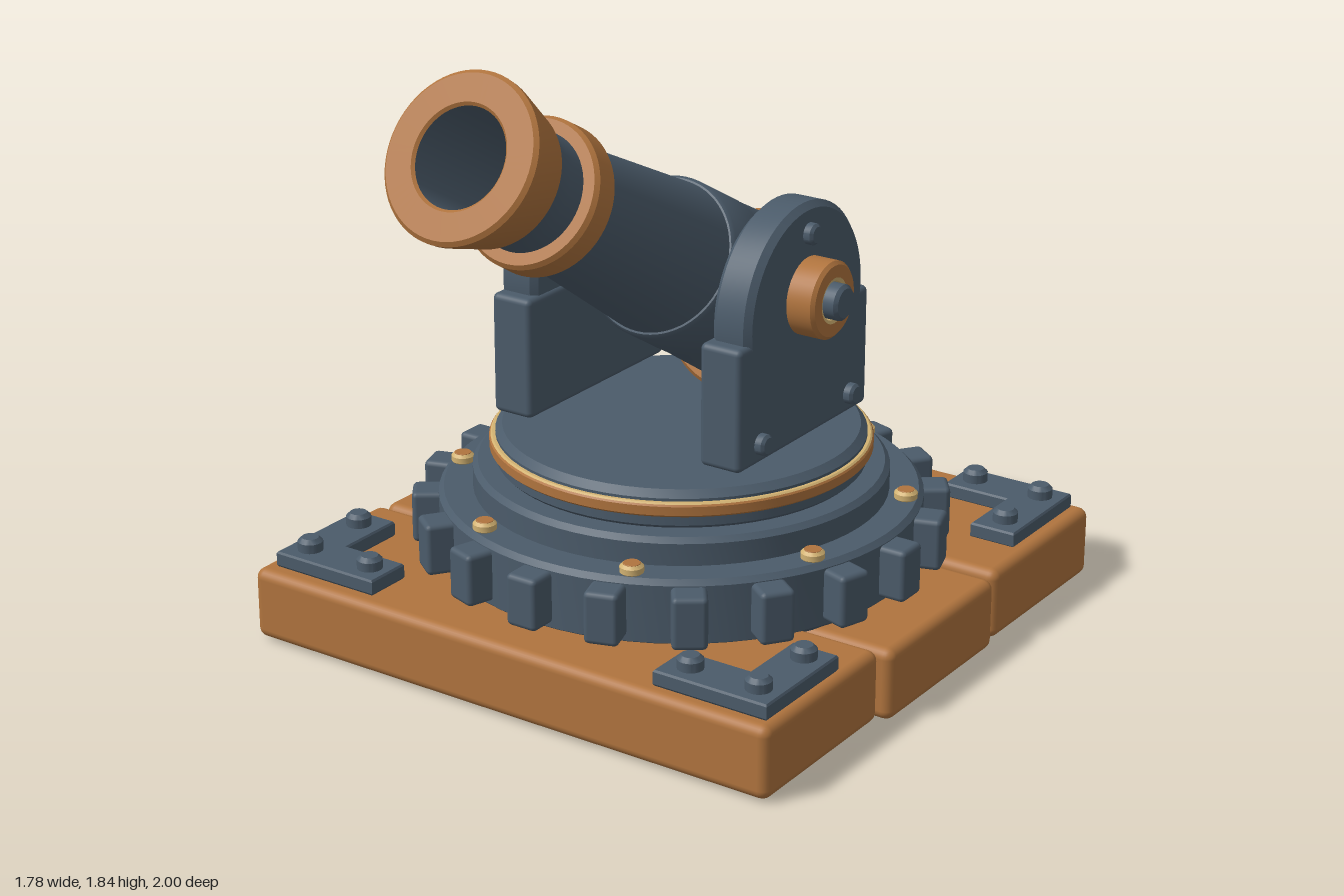
import * as THREE from 'three';
import { toCreasedNormals } from 'three/addons/utils/BufferGeometryUtils.js';
import { RoundedBoxGeometry } from 'three/addons/geometries/RoundedBoxGeometry.js';

const iron = new THREE.MeshStandardMaterial({ color: 0x4b5b6a });
iron.name = 'blue grey iron';
const brown = new THREE.MeshStandardMaterial({ color: 0xb0743e });
brown.name = 'warm brown';
const brass = new THREE.MeshStandardMaterial({ color: 0xd2b272 });
brass.name = 'pale brass';

const CZ = -0.12; // axis of the turntable and trunnions

function add(parent, name, geometry, material, x = 0, y = 0, z = 0) {
  const mesh = new THREE.Mesh(geometry, material);
  mesh.name = name;
  mesh.position.set(x, y, z);
  parent.add(mesh);
  return mesh;
}

// Turned part from [radius, height] pairs listed bottom to top
function turned(points, segments = 64) {
  const profile = points.map(([r, h]) => new THREE.Vector2(r, h));
  return toCreasedNormals(new THREE.LatheGeometry(profile, segments), 0.6);
}

// Solid disc with bevelled rims
function disc(r, y0, y1, b = 0.015, segments = 64) {
  return turned([[0, y0], [r - b, y0], [r, y0 + b], [r, y1 - b], [r - b, y1], [0, y1]], segments);
}

function buildPlanks(parent) {
  const planks = [[-0.015, 0.115, 0.468, 1.75, 0.57], [0.002, 0.108, -0.12, 1.775, 0.58], [0.008, 0.12, -0.71, 1.755, 0.58]];
  planks.forEach(([x, y, z, w, d], i) => {
    const plank = add(parent, 'plank', new RoundedBoxGeometry(w, 0.215, d, 3, 0.03), brown, x, y, z);
    plank.rotation.y = [0.002, -0.003, -0.004][i];
  });
}

function buildBrackets(parent) {
  const shape = new THREE.Shape();
  [[0.49, 0.695], [0.49, 0.83], [0.835, 0.83], [0.835, 0.48], [0.70, 0.48], [0.70, 0.695]]
    .forEach(([x, y], i) => (i ? shape.lineTo(x, y) : shape.moveTo(x, y)));
  const plate = new THREE.ExtrudeGeometry(shape, { depth: 0.035, bevelEnabled: true, bevelSize: 0.004, bevelThickness: 0.006, bevelSegments: 1 });
  plate.rotateX(-Math.PI / 2);
  const stud = disc(0.037, 0, 0.055, 0.012, 20);
  for (let i = 0; i < 4; i++) {
    const bracket = new THREE.Group();
    bracket.name = 'cornerBracket';
    add(bracket, 'bracketPlate', plate, iron);
    [[0.77, 0.765], [0.77, 0.55], [0.55, 0.765]].forEach(([x, z]) => add(bracket, 'bracketStud', stud, iron, x, 0.025, -z));
    // Mirrored corners; flipped plates keep outward faces by rotating and swapping arms
    const swap = i % 2 === 1;
    bracket.rotation.y = i * Math.PI / 2;
    if (swap) bracket.children.forEach(c => { c.position.y += 0; });
    bracket.position.set(0, 0.23, -0.127);
    // The bracket is diagonal-symmetric about its own corner, so quarter turns fit every corner
    parent.add(bracket);
  }
}

function buildTurntable(parent) {
  const table = new THREE.Group();
  table.name = 'turntable';
  table.position.z = CZ;
  parent.add(table);

  // Toothed ring
  add(table, 'gearDisc', disc(0.705, 0.21, 0.41), iron);
  const tooth = new RoundedBoxGeometry(0.1, 0.155, 0.14, 2, 0.015);
  for (let i = 0; i < 20; i++) {
    const a = i * Math.PI / 10;
    add(table, 'gearTooth', tooth, iron, Math.sin(a) * 0.712, 0.315, Math.cos(a) * 0.712).rotation.y = a;
  }

  // Rivets around the flange
  const rivet = disc(0.034, 0, 0.032, 0.008, 20);
  const cap = disc(0.025, 0, 0.003, 0.001, 20);
  for (let i = 0; i < 8; i++) {
    const a = (i + 0.5) * Math.PI / 4;
    const x = Math.sin(a) * 0.658, z = Math.cos(a) * 0.658;
    add(table, 'flangeRivet', rivet, brass, x, 0.405, z);
    add(table, 'rivetCap', cap, brown, x, 0.436, z);
  }

  // Stepped platform with its trim
  add(table, 'lowerStep', disc(0.605, 0.39, 0.49), iron);
  add(table, 'platform', disc(0.538, 0.48, 0.6, 0.02), iron);
  add(table, 'trimRing', turned([[0.53, 0.53], [0.548, 0.53], [0.556, 0.537], [0.556, 0.563], [0.552, 0.568]], 80), brown);
  add(table, 'trimEdge', turned([[0.552, 0.568], [0.547, 0.572], [0.53, 0.572]], 80), brass);
}

function buildCheeks(parent) {
  const bolt = disc(0.031, 0, 0.04, 0.008, 20);
  for (const side of [1, -1]) {
    const cheek = new THREE.Group();
    cheek.name = side > 0 ? 'leftCheek' : 'rightCheek';
    cheek.position.z = CZ;
    parent.add(cheek);
    const across = (name, geometry, material, y, z) => {
      add(cheek, name, geometry, material, side * 0.41, y, z).rotation.z = -side * Math.PI / 2;
    };
    add(cheek, 'cheekBase', new RoundedBoxGeometry(0.134, 0.36, 0.67, 3, 0.018), iron, side * 0.355, 0.82, 0.005);
    across('cheekDome', disc(0.3, -0.112, 0.012, 0.018), iron, 1.03, 0);
    [[0.7, 0.235], [0.7, -0.23], [1.245, 0]].forEach(([y, z]) => across('cheekBolt', bolt, iron, y, z));
    // Hub and axle end
    across('hub', turned([[0.112, 0], [0.112, 0.088], [0.102, 0.098], [0.066, 0.098]], 40), brown, 1.065, 0);
    across('hubLip', turned([[0.066, 0.098], [0.056, 0.094], [0.05, 0.07]], 40), brass, 1.065, 0);
    across('axleEnd', disc(0.052, 0, 0.135, 0.01, 32), iron, 1.065, 0);
    across('trunnion', disc(0.093, -0.41, -0.09, 0.005, 40), iron, 1.065, 0);
  }
}

function buildBarrel(parent) {
  const barrel = new THREE.Group();
  barrel.name = 'barrel';
  barrel.position.set(0, 1.065, CZ);
  barrel.rotation.x = Math.PI / 3; // raised 30 degrees
  parent.add(barrel);
  const part = (name, material, points) => add(barrel, name, turned(points), material);

  part('breechKnob', iron, [[0, -0.748], [0.06, -0.746], [0.078, -0.732], [0.08, -0.71], [0.068, -0.69], [0.046, -0.675], [0.046, -0.62]]);
  part('breechCap', iron, [[0, -0.645], [0.07, -0.64], [0.13, -0.622], [0.19, -0.59], [0.235, -0.55], [0.265, -0.505]]);
  part('breechRing', brown, [[0.255, -0.525], [0.27, -0.525], [0.28, -0.512], [0.282, -0.42], [0.272, -0.405], [0.24, -0.4]]);
  part('rearBarrel', iron, [[0.252, -0.41], [0.238, -0.09], [0.24, -0.08], [0.236, 0.115], [0.228, 0.128], [0.215, 0.13]]);
  part('frontBarrel', iron, [[0.223, 0.12], [0.17, 0.74]]);
  part('frontBand', brown, [[0.165, 0.728], [0.2, 0.728], [0.212, 0.74], [0.21, 0.81], [0.2, 0.823], [0.16, 0.823]]);
  part('neck', iron, [[0.168, 0.8], [0.163, 0.88], [0.168, 0.94], [0.182, 0.98]]);
  part('muzzle', brown, [[0.17, 0.968], [0.186, 0.968], [0.196, 0.978], [0.232, 1.13], [0.233, 1.147], [0.222, 1.158], [0.145, 1.158], [0.137, 1.15]]);
  part('bore', iron, [[0.137, 1.15], [0.135, 0.55], [0, 0.55]]);
}

export function createModel() {
  const model = new THREE.Group();
  model.name = 'cannon';
  buildPlanks(model);
  buildBrackets(model);
  buildTurntable(model);
  buildCheeks(model);
  buildBarrel(model);
  return model;
}
